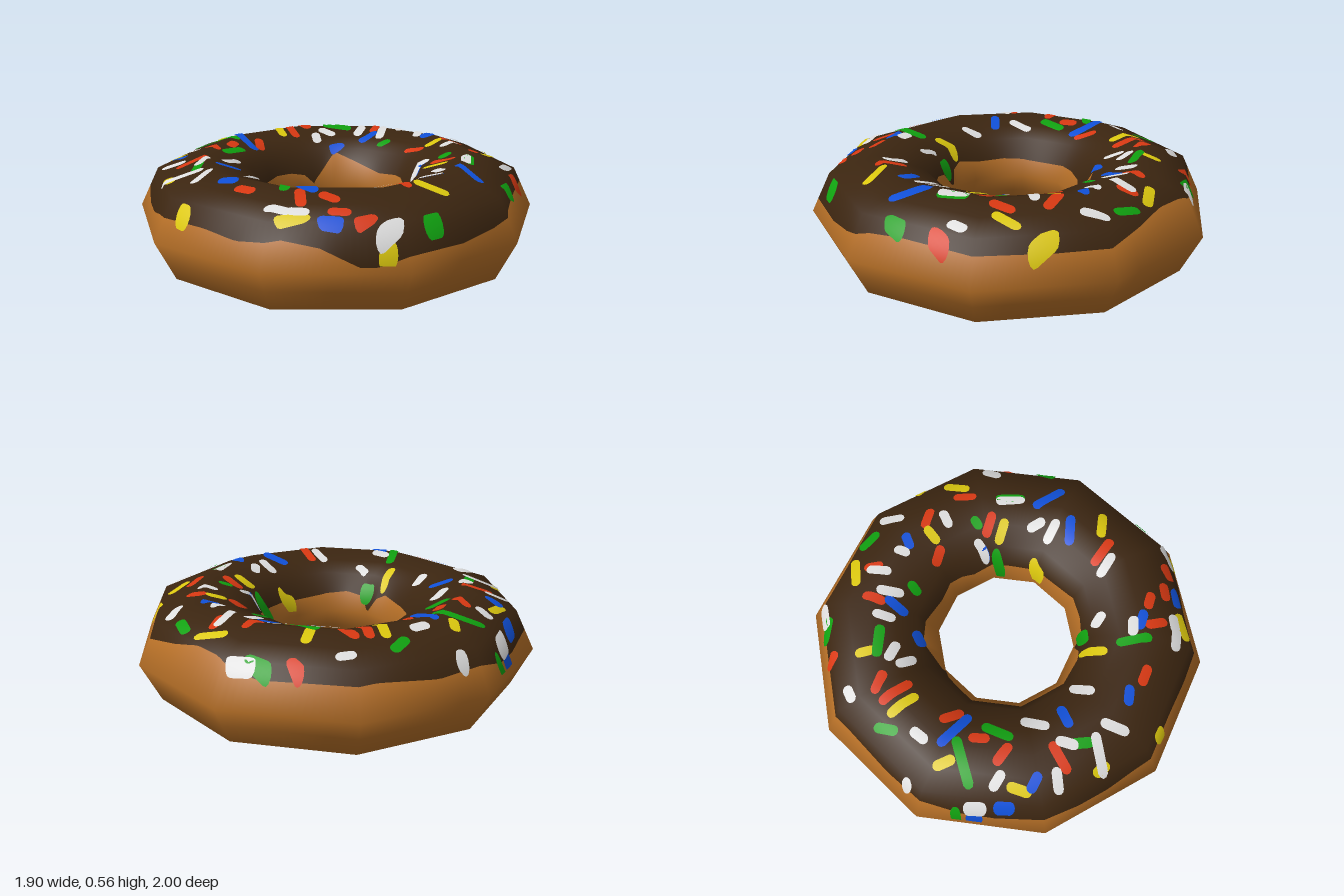
import * as THREE from 'three';
import { mergeGeometries } from 'three/addons/utils/BufferGeometryUtils.js';

const SIDES = 10, STEP = Math.PI * 2 / SIDES;
const RING = 0.675, TUBE = 0.325, HALF = 0.275, DIAG = HALF * Math.SQRT1_2;
const deg = THREE.MathUtils.degToRad;

const mat = (name, color) => {
  const m = new THREE.MeshStandardMaterial({ color });
  m.name = name;
  return m;
};

// Factor from corner radius to the flat-sided ring radius at an azimuth (0 = +z, 90 deg = +x)
function facet(az) {
  const local = az - Math.floor(az / STEP + 1e-9) * STEP;
  return Math.cos(STEP / 2) / Math.cos(local - STEP / 2);
}

// Point and smooth normal on the ring; t counts the eight tube sides from the outer rim, upward
function ringPoint(az, t, lift = 0) {
  const k = Math.floor(t), f = t - k;
  const mix = fn => fn(k * Math.PI / 4) * (1 - f) + fn((k + 1) * Math.PI / 4) * f;
  const r = (RING + TUBE * mix(Math.cos)) * facet(az);
  const y = HALF + HALF * mix(Math.sin);
  const nr = mix(Math.cos) / TUBE, ny = mix(Math.sin) / HALF;
  const n = new THREE.Vector3(Math.sin(az) * nr, ny, Math.cos(az) * nr).normalize();
  const p = new THREE.Vector3(Math.sin(az) * r, y, Math.cos(az) * r).addScaledVector(n, lift);
  return { p, n };
}

// Point on the upper half of the ring above a plan position
function drape(x, z, lift) {
  const az = (Math.atan2(x, z) + Math.PI * 2) % (Math.PI * 2);
  const R = THREE.MathUtils.clamp(Math.hypot(x, z) / facet(az), 0.36, 0.985);
  const radius = k => RING + TUBE * Math.cos(k * Math.PI / 4);
  let k = 0;
  while (k < 3 && R < radius(k + 1)) k++;
  return ringPoint(az, k + (radius(k) - R) / (radius(k) - radius(k + 1)), lift);
}

// Surface from a rule giving point and normal at each grid position
function grid(nu, nv, rule) {
  const pos = [], nor = [], index = [];
  for (let i = 0; i <= nu; i++) {
    for (let j = 0; j <= nv; j++) {
      const { p, n } = rule(i, j);
      pos.push(p.x, p.y, p.z);
      nor.push(n.x, n.y, n.z);
      if (i === nu || j === nv) continue;
      const a = i * (nv + 1) + j, b = a + nv + 1;
      index.push(a, b, b + 1, a, b + 1, a + 1);
    }
  }
  const g = new THREE.BufferGeometry();
  g.setAttribute('position', new THREE.Float32BufferAttribute(pos, 3));
  g.setAttribute('normal', new THREE.Float32BufferAttribute(nor, 3));
  g.setIndex(index);
  return g;
}

// Icing edge: azimuth in degrees, height
const OUTER_EDGE = [
  [0, .385], [15, .385], [27, .37], [40, .4], [50, .37], [60, .3], [65, .3], [72, .34], [90, .335],
  [102, .36], [112, .4], [122, .41], [140, .405], [165, .395], [180, .4], [192, .43], [203, .468],
  [213, .468], [219, .44], [225, .4], [240, .405], [257, .41], [275, .38], [288, .4], [300, .345],
  [310, .34], [324, .375], [335, .34], [345, .34], [354, .37], [360, .385]];
const INNER_EDGE = [
  [0, .36], [20, .39], [28, .36], [35, .28], [42, .36], [55, .38], [75, .36], [100, .35], [130, .36],
  [160, .35], [170, .37], [195, .36], [215, .39], [235, .45], [245, .36], [254, .29], [262, .34],
  [275, .36], [320, .36], [340, .37], [360, .36]];

function edge(table, d) {
  const i = Math.max(1, table.findIndex(e => e[0] >= d));
  const [a, ya] = table[i - 1], [b, yb] = table[i];
  return (ya + (yb - ya) * (d - a) / (b - a) - HALF) / DIAG;
}

// Band of the ring between two tube positions that vary with azimuth
function band(columns) {
  const N = 180;
  return grid(N, columns(0).length - 1, (i, j) => {
    const d = i * 360 / N;
    return ringPoint(deg(d), columns(d)[j]);
  });
}

// Sprinkles: plan x, plan z, turn in degrees, length
const WHITE = [
  [.01, -.81, -40, .13], [-.58, -.68, 55, .13], [-.24, -.64, -60, .13], [-.09, -.63, -60, .08],
  [.19, -.6, 70, .1], [.56, -.63, -65, .1], [-.28, -.52, -50, .13], [-.39, -.45, -60, .11],
  [.49, -.43, -45, .15], [-.77, -.29, 70, .09], [.22, -.38, 80, .1], [-.49, -.29, 20, .11],
  [-.48, -.21, -25, .1], [.49, -.25, -20, .1], [.52, -.17, 15, .13], [-.69, .1, -85, .1],
  [-.88, .2, 60, .06], [.56, .16, 10, .13], [-.59, .5, 10, .1], [-.28, .45, -60, .14],
  [0, .5, -55, .12], [.33, .32, 10, .09], [.4, .47, 40, .1], [.84, .34, 75, .12],
  [-.74, .5, -50, .11], [-.4, .7, 50, .12], [-.25, .62, -60, .11], [-.04, .73, -65, .14],
  [-.18, .76, 55, .2], [.5, .66, 35, .12], [.56, .6, 50, .1], [.83, .5, 60, .06]];
const RED = [
  [-.24, -.68, -45, .1], [.13, -.67, 30, .13], [.35, -.62, -50, .12], [.64, -.62, -70, .11],
  [-.71, -.49, 15, .09], [-.36, -.55, -65, .12], [.03, -.5, 25, .11], [.33, -.43, 25, .13],
  [-.62, -.13, -10, .18], [-.64, -.22, 20, .12], [.6, .1, 5, .16], [-.52, .14, -25, .12],
  [-.51, .31, -50, .1], [-.49, .44, 5, .12], [-.32, .64, 75, .16], [.25, .67, 20, .11],
  [.49, .54, -30, .12], [.56, .44, 25, .1], [.66, .46, 50, .1], [.76, .4, 70, .1]];
const YELLOW = [
  [-.32, -.73, 50, .16], [.27, -.84, 0, .14], [.37, -.7, -60, .14], [.08, -.59, 85, .1],
  [-.58, -.38, -40, .1], [.35, -.36, 25, .13], [-.64, -.06, -10, .17], [.71, 0, 35, .16],
  [-.7, .27, -25, .11], [.19, .41, -50, .13], [-.55, .6, -65, .12], [.58, .64, 60, .15],
  [-.22, .81, -10, .09], [.11, .9, 15, .08], [.36, -.12, 80, .1], [.87, .37, 70, .08]];
const GREEN = [
  [-.15, -.81, 0, .13], [-.62, -.62, 35, .13], [.5, -.44, -45, .15], [-.5, -.37, 40, .17],
  [-.18, -.46, 80, .08], [.29, -.48, 80, .07], [.76, -.43, -65, .11], [-.77, -.04, -60, .12],
  [-.64, .33, 60, .24], [-.43, .35, -70, .16], [.35, .52, -40, .17], [-.2, .67, -40, .11],
  [.88, .14, 90, .1], [.24, .31, 50, .08], [.25, -.29, 70, .1], [-.82, .45, 50, .07]];
const BLUE = [
  [-.03, -.65, 65, .09], [-.31, -.45, -85, .13], [.64, -.3, -10, .2], [.58, -.1, 40, .15],
  [-.56, .2, 0, .21], [-.16, .53, 65, .12], [.12, .68, 35, .1], [.45, .48, 25, .11],
  [.68, .52, 50, .11], [-.48, .63, 15, .1], [-.65, .6, -50, .1], [.22, -.37, 85, .08],
  [-.35, -.26, 70, .09], [-.77, .52, -50, .08]];

// One round-ended sprinkle lying on the icing
function sprinkle([x, z, turn, length], lift) {
  const c = Math.cos(deg(turn)), s = Math.sin(deg(turn)), W = 0.024, NU = 10, NV = 4;
  return grid(NU, NV, (i, j) => {
    const u = -Math.cos(Math.PI * i / NU) * length / 2;
    const over = Math.max(0, Math.abs(u) - (length / 2 - W)) / W;
    const w = (j / NV * 2 - 1) * W * Math.sqrt(Math.max(0, 1 - over * over));
    return drape(x + u * c - w * s, z - u * s - w * c, lift);
  });
}

export function createModel() {
  const group = new THREE.Group();
  group.name = 'doughnut';
  const add = (name, geometry, material) => {
    const mesh = new THREE.Mesh(geometry, material);
    mesh.name = name;
    group.add(mesh);
  };

  // Icing over the top, dough around the rest, meeting at the wavy edges
  add('icing', band(d => [edge(OUTER_EDGE, d), 1, 1.5, 2, 2.5, 3, 4 - edge(INNER_EDGE, d)]),
    mat('chocolate', 0x3b2510));
  add('dough', band(d => [4 - edge(INNER_EDGE, d), 4, 4.5, 5, 5.5, 6, 6.5, 7, 7.5, 8, 8 + edge(OUTER_EDGE, d)]),
    mat('golden dough', 0xb46e26));

  // Sprinkles, one mesh for each colour
  [['red', RED, 0xd83812], ['yellow', YELLOW, 0xdcc80e], ['blue', BLUE, 0x1050d8],
    ['green', GREEN, 0x10a010], ['white', WHITE, 0xdedede]].forEach(([name, list, color], i) => {
    const parts = list.map(item => sprinkle(item, 0.005 + i * 0.0008));
    add(name + 'Sprinkles', mergeGeometries(parts), mat(name + ' sugar', color));
  });
  return group;
}
